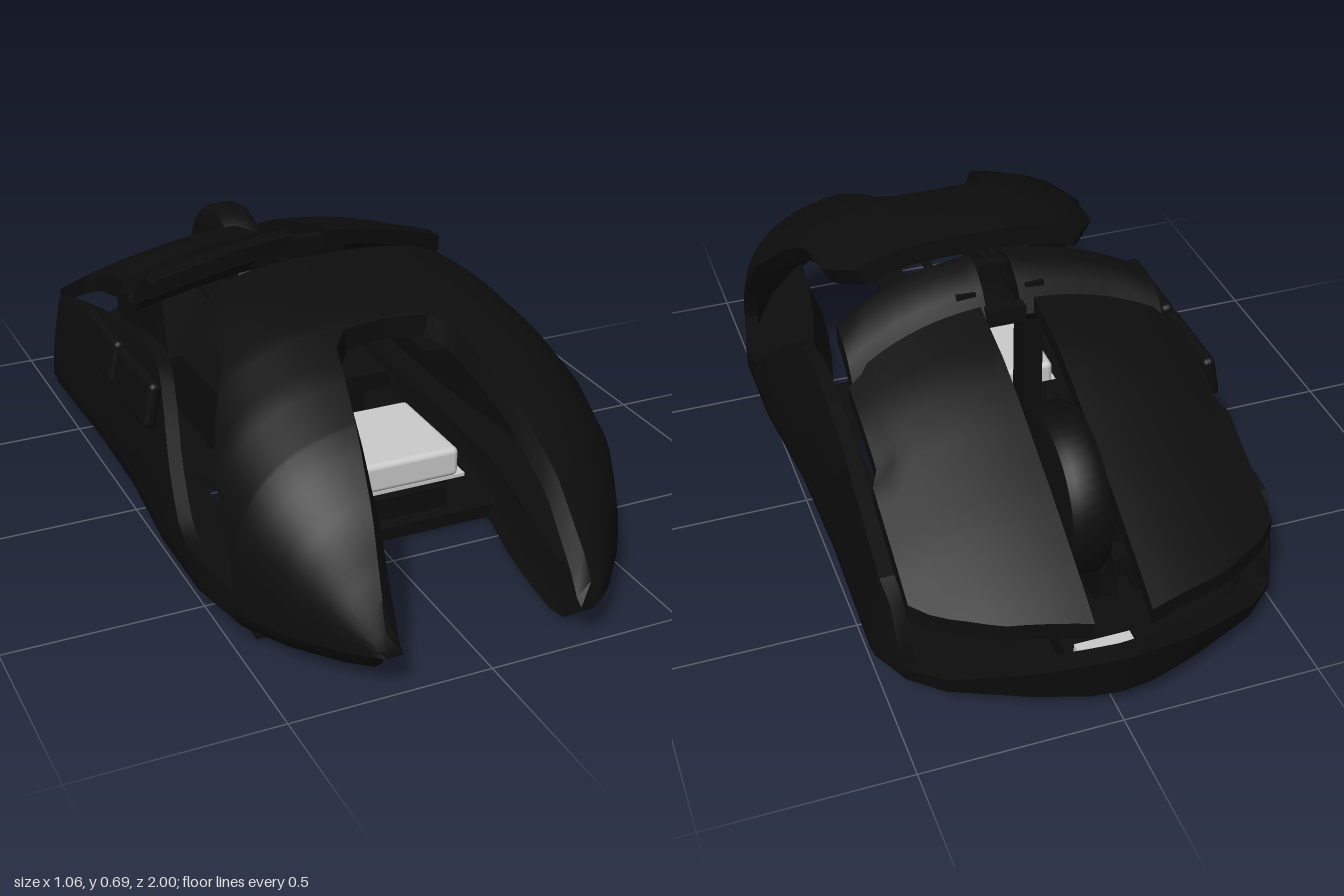
import * as THREE from 'three';
import { toCreasedNormals } from 'three/addons/utils/BufferGeometryUtils.js';
import { RoundedBoxGeometry } from 'three/addons/geometries/RoundedBoxGeometry.js';

const black = new THREE.MeshStandardMaterial({ color: 0x0d0d0d });
const grey = new THREE.MeshStandardMaterial({ color: 0xcccccc });

// Piecewise-linear lookup in [[key, value], ...] with ascending keys
function look(table, k) {
  for (let i = 1; i < table.length; i++) {
    const [a, va] = table[i - 1], [b, vb] = table[i];
    if (k <= b) return va + (vb - va) * Math.max(0, (k - a) / (b - a));
  }
  return table[table.length - 1][1];
}
const steps = (a, b, n) => Array.from({ length: n + 1 }, (_, i) => a + (b - a) * i / n);

// Thick sheet from sections { out: [points], inn: [points] }; s = -1 mirrors it in x
function sheet(sections, s = 1) {
  const m = sections[0].out.length, ring = 2 * m, pos = [], tri = [];
  for (const { out, inn } of sections)
    for (const [x, y, z] of [...out, ...[...inn].reverse()]) pos.push(x * s, y, z);
  const quad = (a, b, c, d) => tri.push(a, b, c, a, c, d);
  for (let i = 0; i < sections.length - 1; i++)
    for (let j = 0; j < ring; j++) {
      const k = (j + 1) % ring;
      quad(i * ring + j, i * ring + k, (i + 1) * ring + k, (i + 1) * ring + j);
    }
  const end = (sections.length - 1) * ring;
  for (let j = 0; j < m - 1; j++) {
    quad(j, ring - 1 - j, ring - 2 - j, j + 1);
    quad(end + j, end + j + 1, end + ring - 2 - j, end + ring - 1 - j);
  }
  // Turn the faces outward by the sign of the enclosed volume
  const v = i => new THREE.Vector3().fromArray(pos, i * 3);
  let volume = 0;
  for (let i = 0; i < tri.length; i += 3) volume += v(tri[i]).dot(v(tri[i + 1]).cross(v(tri[i + 2])));
  if (volume < 0) tri.reverse();
  const g = new THREE.BufferGeometry();
  g.setAttribute('position', new THREE.Float32BufferAttribute(pos, 3));
  g.setIndex(tri);
  return toCreasedNormals(g, 0.6);
}

// Plan half width and crown height along the body
const WIDTH = [[-0.8, 0.46], [-0.7, 0.51], [-0.3, 0.5], [0, 0.505], [0.3, 0.53], [0.55, 0.53],
  [0.7, 0.5], [0.83, 0.43], [0.95, 0.33], [1, 0.27]];
const CROWN = [[0.1, 0.675], [0.25, 0.662], [0.4, 0.637], [0.55, 0.582], [0.7, 0.51], [0.85, 0.39], [0.97, 0.21], [1, 0.115]];
const ARCH_LOW = [[0.1, 0.63], [0.2, 0.585], [0.33, 0.57], [0.4, 0.54], [0.55, 0.4], [0.65, 0.27],
  [0.68, 0.22], [0.69, 0.1], [1, 0.1]];
const ARCH_IN = [[0.1, 0], [0.425, 0], [0.435, 0.11], [0.48, 0.15], [0.7, 0.2], [1, 0.265]];
const WALL_TOP = [[-0.78, 0.13], [-0.74, 0.27], [-0.7, 0.325], [-0.4, 0.39], [-0.1, 0.447], [0, 0.455],
  [0.1, 0.44], [0.2, 0.37], [0.3, 0.28], [0.4, 0.18], [0.45, 0.155], [0.7, 0.15]];

// Palm arch: half shell with a forked rear end
function archHalf(s) {
  const n = 3, y0 = 0.1, t = 0.04;
  const zs = [...steps(0.1, 0.42, 10), 0.425, 0.435, 0.455, 0.48, ...steps(0.52, 0.64, 4), 0.665, 0.68, 0.69,
    ...steps(0.74, 0.98, 8), 1];
  return sheet(zs.map(z => {
    const w = look(WIDTH, z), h = look(CROWN, z) - y0;
    const lo = Math.asin(Math.pow((look(ARCH_LOW, z) - y0) / h, n / 2));
    const hi = Math.acos(Math.pow(look(ARCH_IN, z) / w, n / 2));
    const curve = (W, H) => steps(lo, Math.max(hi, lo + 0.01), 16).map(a =>
      [W * Math.pow(Math.max(0, Math.cos(a)), 2 / n), y0 + H * Math.pow(Math.max(0, Math.sin(a)), 2 / n), z]);
    return { out: curve(w, h), inn: curve(w - t, Math.max(0.004, h - t - 0.015)) };
  }), s);
}

// Side panel that leans inward towards its top edge
function sideWall(s) {
  const lean = s > 0 ? 0.04 : 0.06;
  return sheet(steps(-0.78, 0.68, 36).map(z => {
    const w = look(WIDTH, z), top = look(WALL_TOP, z);
    const col = d => steps(0.09, top, 6).map(y => [w - d - lean * Math.pow(Math.max(0, (y - 0.1) / 0.35), 1.5), y, z]);
    return { out: col(0), inn: col(0.035) };
  }), s);
}

// Base rim: [x, z, top y, inner x, inner z]
const RIM = [[0.27, 1, 0.115, 0.262, 0.98], [0.33, 0.95, 0.115, 0.265, 0.93], [0.43, 0.83, 0.115, 0.28, 0.8],
  [0.5, 0.7, 0.115, 0.3, 0.68], [0.53, 0.55, 0.115, 0.33, 0.55], [0.53, 0.3, 0.115, 0.38, 0.3], [0.505, 0, 0.115, 0.385, 0],
  [0.5, -0.3, 0.115, 0.39, -0.3], [0.51, -0.68, 0.115, 0.42, -0.66], [0.46, -0.8, 0.12, 0.4, -0.76],
  [0.38, -0.87, 0.13, 0.34, -0.82], [0.2, -0.95, 0.165, 0.18, -0.9], [0.08, -0.99, 0.195, 0.07, -0.94], [0, -1, 0.2, 0, -0.95]];
const rimHalf = s => sheet(RIM.map(([x, z, y, xi, zi]) => ({
  out: [[x, y, z], [x, Math.min(0.08, y), z * 0.985], [x * 0.91, 0.01, z * 0.9]],
  inn: [[xi, y, zi], [xi * 0.98, 0.06, zi * 0.97], [xi * 0.9, 0.01, zi * 0.88]],
})), s);

// Main button: curved plate falling towards the nose and the side
const BUTTON_Y = [[-0.97, 0.295], [-0.85, 0.365], [-0.7, 0.445], [-0.45, 0.565], [-0.35, 0.605], [-0.18, 0.645]];
const BUTTON_NOSE = [[0.07, -0.965], [0.27, -0.91], [0.4, -0.84], [0.45, -0.79]];
function button(s) {
  return sheet(steps(0.07, 0.45, 10).map(x => {
    const line = t => steps(-0.18 - 0.08 * (x / 0.45) ** 3, look(BUTTON_NOSE, x), 14).map(z =>
      [x - (x > 0.4 && z > -0.5 ? 0.02 : 0), look(BUTTON_Y, z) - 0.085 * (x / 0.45) ** 2 - t, z]);
    return { out: line(0), inn: line(0.045) };
  }), s);
}

// Hub wing between the arch and the buttons
function hubWing(s) {
  return sheet([0.045, 0.08, 0.14, 0.2, 0.27, 0.34, 0.41].map(x => {
    const d = 0.11 * (x / 0.42) ** 2, back = -0.06 * (x / 0.41) ** 3;
    const at = p => p.map(([z, y]) => [x, y - d * 0.9, z + back]);
    return {
      out: at([[-0.015, 0.69], [-0.07, 0.688], [-0.12, 0.655], [-0.17, 0.59]]),
      inn: at([[-0.02, 0.645], [-0.06, 0.63], [-0.1, 0.605], [-0.15, 0.56]]),
    };
  }), s);
}

// Floor plate with a sensor hole and side openings
function floorGeometry() {
  const pts = list => list.map(([x, z]) => new THREE.Vector2(x, z));
  const edge = [[0.4, 0.42], [0.44, 0.2], [0.42, -0.3], [0.42, -0.66], [0.33, -0.8], [0.08, -0.88]];
  const shape = new THREE.Shape(pts([...edge, ...edge.map(([x, z]) => [-x, z]).reverse()]));
  for (const s of [-1, 1]) {
    shape.holes.push(new THREE.Path(pts([[0.32, -0.04], [0.25, 0.04], [0.25, 0.1], [0.32, 0.16]].map(([x, z]) => [x * s, z]))));
    shape.holes.push(new THREE.Path(pts([[0.355, -0.2], [0.37, -0.2], [0.37, 0.15], [0.355, 0.15]].map(([x, z]) => [x * s, z]))));
  }
  shape.holes.push(new THREE.Path().absellipse(0, -0.1, 0.035, 0.055, 0, Math.PI * 2));
  const g = new THREE.ExtrudeGeometry(shape, { depth: 0.035, bevelEnabled: false });
  return g.rotateX(Math.PI / 2).translate(0, 0.045, 0);
}

export function createModel() {
  const model = new THREE.Group();
  const add = (name, geometry, material = black) => {
    const mesh = new THREE.Mesh(geometry, material);
    mesh.name = name;
    model.add(mesh);
    return mesh;
  };
  // Box given by its x, y and z ranges
  const box = (name, x0, x1, y0, y1, z0, z1, material) =>
    add(name, new THREE.BoxGeometry(Math.abs(x1 - x0), y1 - y0, z1 - z0), material)
      .position.set((x0 + x1) / 2, (y0 + y1) / 2, (z0 + z1) / 2);

  add('floorPlate', floorGeometry());
  for (const s of [1, -1]) {
    const side = s > 0 ? 'left' : 'right';
    add(side + 'PalmArch', archHalf(s));
    add(side + 'SideWall', sideWall(s));
    add(side + 'BaseRim', rimHalf(s));
    add(side + 'MainButton', button(s));
    add(side + 'HubWing', hubWing(s));
    box(side + 'HubPost', s * 0.065, s * 0.115, 0.04, 0.65, -0.13, -0.05);
    box(side + 'UpperRail', s * 0.08, s * 0.1, 0.535, 0.55, -0.12, 0.32);
    box(side + 'LowerRail', s * 0.14, s * 0.22, 0.48, 0.495, -0.25, 0.38);
    box(side + 'InnerDeck', s * 0.07, s * 0.24, 0.2, 0.25, -0.74, -0.02);
    box(side + 'DeckLeg', s * 0.17, s * 0.23, 0.04, 0.21, -0.65, -0.15);
    box(side + 'WheelFork', s * 0.062, s * 0.11, 0.04, 0.39, -0.68, -0.46);
    box(side + 'SwitchBlock', s * 0.14, s * 0.3, 0.24, 0.35, -0.72, -0.55);
    // Sloping strut that carries the main button
    const strut = add(side + 'ButtonStrut', new THREE.BoxGeometry(0.16, 0.26, 0.04));
    strut.position.set(s * 0.2, 0.37, -0.39);
    strut.rotation.x = -0.25;
    const support = add(side + 'ButtonSupport', new THREE.BoxGeometry(0.26, 0.025, 0.3));
    support.position.set(s * 0.22, 0.36, -0.6);
    support.rotation.x = -0.25;
  }
  // Hub bridges leave the slot above the sensor open
  box('hubFrontBridge', -0.05, 0.05, 0.625, 0.675, -0.05, -0.02);
  box('hubRearBridge', -0.05, 0.05, 0.575, 0.62, -0.18, -0.15);

  // Scroll wheel with a rounded tread
  const tread = [[0, -0.055], [0.18, -0.055], [0.2, -0.048], [0.21, -0.03], [0.21, 0.03], [0.2, 0.048], [0.18, 0.055], [0, 0.055]]
    .map(p => new THREE.Vector2(...p));
  add('scrollWheel', toCreasedNormals(new THREE.LatheGeometry(tread, 48).rotateZ(Math.PI / 2), 0.6)).position.set(0, 0.363, -0.575);
  const axle = add('wheelAxle', new THREE.CylinderGeometry(0.03, 0.03, 0.26, 16).rotateZ(Math.PI / 2));
  axle.position.set(0, 0.363, -0.575);

  // Battery on its tray
  add('battery', new RoundedBoxGeometry(0.47, 0.08, 0.3, 3, 0.015), grey).position.set(0, 0.175, 0.245);
  box('batteryPlate', -0.255, 0.255, 0.128, 0.137, 0.12, 0.39, grey);
  box('batteryTray', -0.21, 0.21, 0.04, 0.105, 0.12, 0.38);
  for (const x of [-0.2, 0.2]) for (const z of [0.16, 0.35]) box('trayPost', x - 0.015, x + 0.015, 0.1, 0.13, z - 0.015, z + 0.015);
  box('noseConnector', -0.07, 0.07, 0.1, 0.125, -0.88, -0.85, grey);
  box('noseBlock', -0.09, 0.09, 0.04, 0.1, -0.88, -0.7);

  // Thumb buttons on the right-hand panel
  for (const [z, length] of [[-0.2, 0.25], [0.065, 0.26]]) {
    const thumb = add('thumbButton', new RoundedBoxGeometry(0.035, 0.12, length, 3, 0.015));
    thumb.position.set(-0.505, 0.388, z);
    thumb.rotation.z = -0.2;
    box('thumbStem', -0.5, -0.42, 0.355, 0.4, z - 0.06, z + 0.06);
  }

  // Glide pads under the base
  box('frontPad', -0.38, 0.38, 0, 0.012, -0.77, -0.4);
  for (const s of [-1, 1]) box('rearPad', s * 0.32, s * 0.44, 0, 0.012, 0.48, 0.68);
  return model;
}
